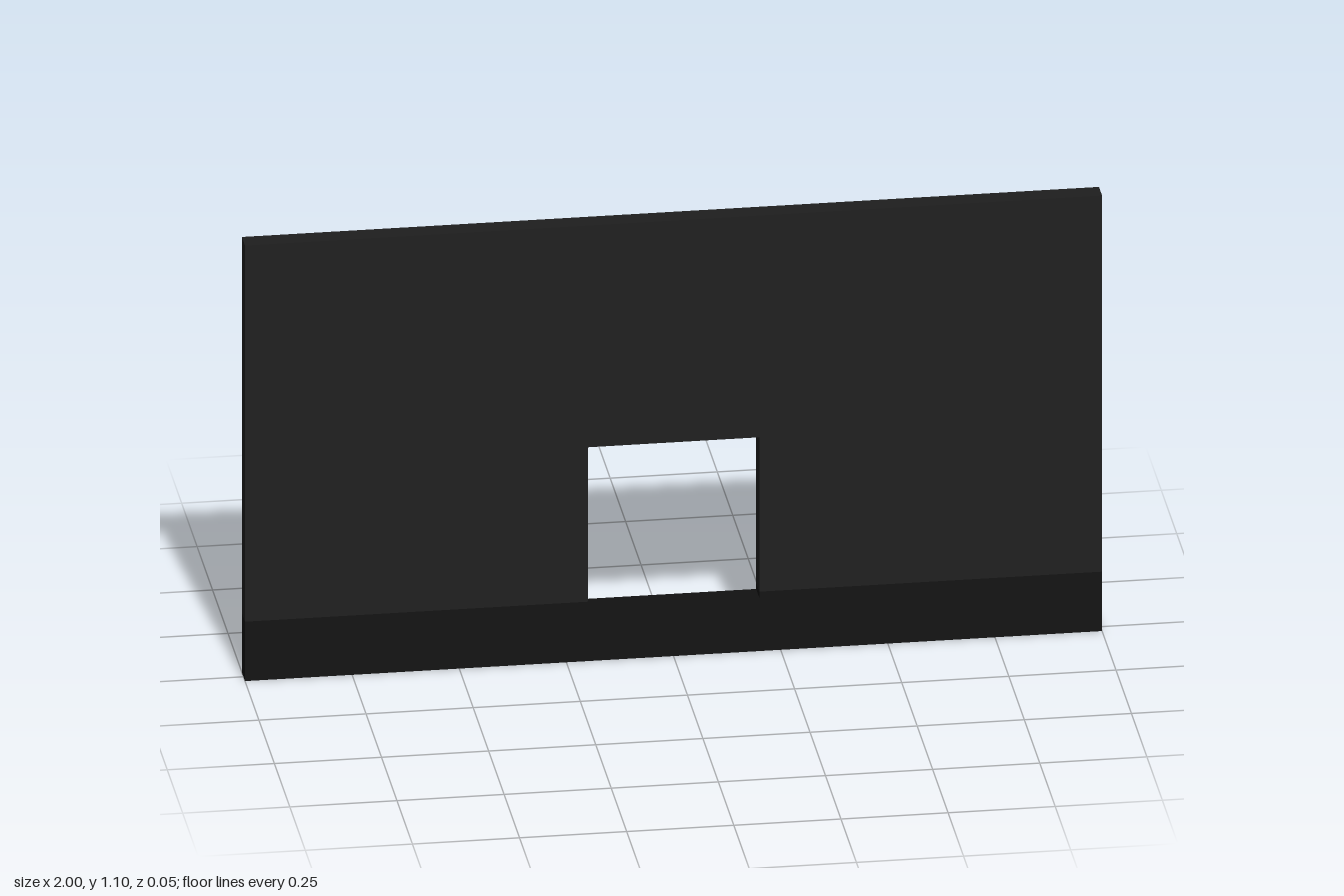
import * as THREE from 'three';

const W = 1, H = 1.1, DEPTH = 0.05, BAND = 0.15;
const HOLE = { x: 0.2, bottom: 0.135, top: 0.54 };

// Extrudes an outline through the wall thickness, centred on z = 0
function slab(name, points, color) {
  const shape = new THREE.Shape(points.map(([x, y]) => new THREE.Vector2(x, y)));
  const geometry = new THREE.ExtrudeGeometry(shape, { depth: DEPTH, bevelEnabled: false });
  geometry.translate(0, 0, -DEPTH / 2);
  const mesh = new THREE.Mesh(geometry, new THREE.MeshStandardMaterial({ color }));
  mesh.name = name;
  return mesh;
}

export function createModel() {
  const group = new THREE.Group();
  group.name = 'wallWithWindow';

  // Upper wall, notched around the window opening
  group.add(slab('wall', [
    [-W, BAND], [-HOLE.x, BAND], [-HOLE.x, HOLE.top], [HOLE.x, HOLE.top],
    [HOLE.x, BAND], [W, BAND], [W, H], [-W, H],
  ], 0x1e1e1e));

  // Darker base band, with a shallow notch for the window sill
  group.add(slab('baseBand', [
    [-W, 0], [W, 0], [W, BAND], [HOLE.x, BAND], [HOLE.x, HOLE.bottom],
    [-HOLE.x, HOLE.bottom], [-HOLE.x, BAND], [-W, BAND],
  ], 0x111111));

  return group;
}
